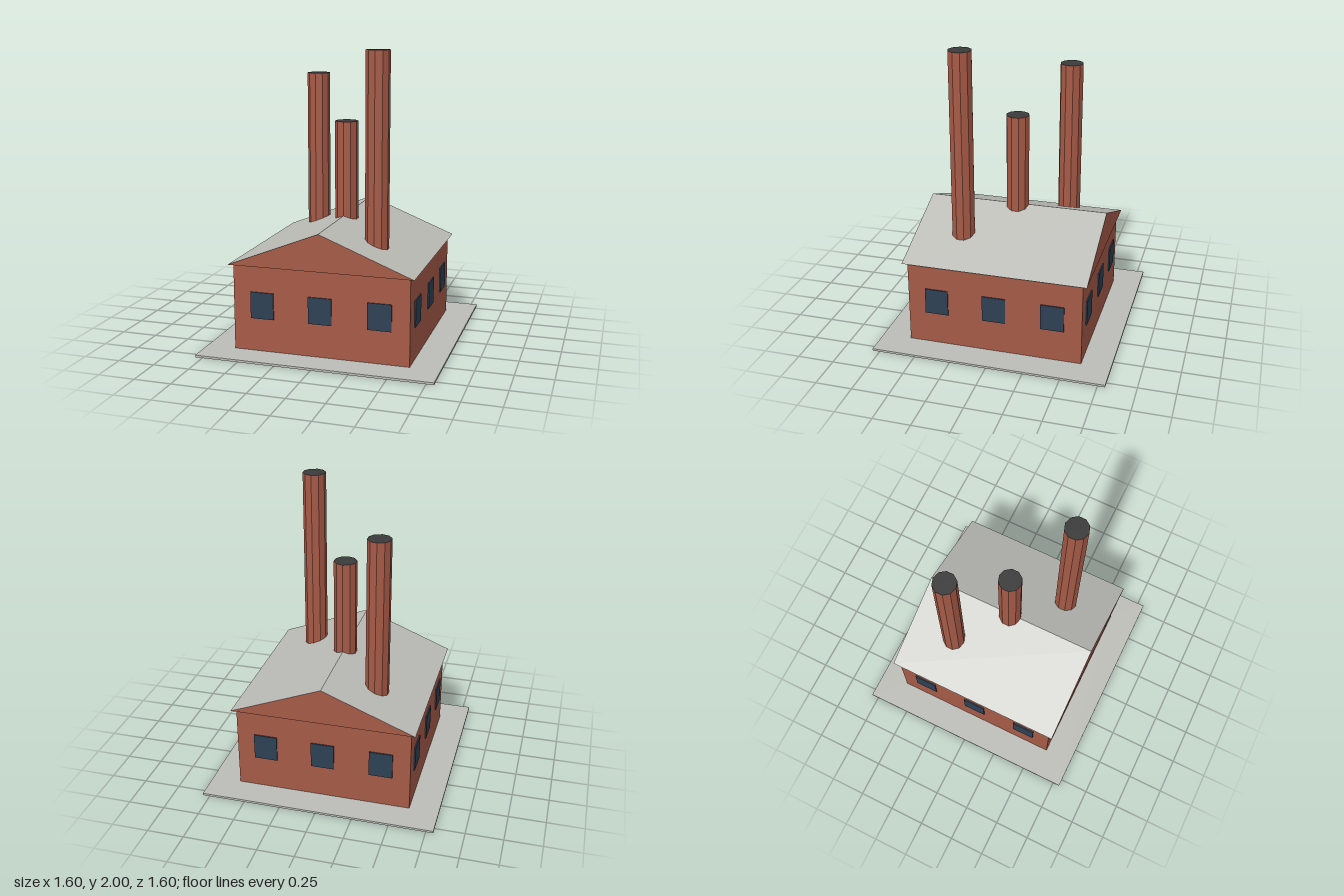
import * as THREE from 'three';

const paint = (name, color) => {
  const m = new THREE.MeshStandardMaterial({ color });
  m.name = name;
  return m;
};

export function createModel() {
  const brick = paint('brick red', 0xa65a47);
  const concrete = paint('concrete grey', 0xbcbdb7);
  const glass = paint('window blue', 0x2d4054);
  const soot = paint('soot black', 0x3a3a3a);

  const model = new THREE.Group();
  model.name = 'factory';
  const add = (name, geometry, material, parent = model) => {
    const mesh = new THREE.Mesh(geometry, material);
    mesh.name = name;
    parent.add(mesh);
    return mesh;
  };

  // Thin ground slab with an opening for the building
  const square = (Path, r) =>
    new Path([[-r, -r], [r, -r], [r, r], [-r, r]].map(([x, y]) => new THREE.Vector2(x, y)));
  const slabShape = square(THREE.Shape, 0.8);
  slabShape.holes.push(square(THREE.Path, 0.6));
  const slab = new THREE.ExtrudeGeometry(slabShape, { depth: 0.015, bevelEnabled: false });
  add('groundSlab', slab.rotateX(-Math.PI / 2), concrete);

  // Brick hall
  add('walls', new THREE.BoxGeometry(1.2, 0.6, 1.2).translate(0, 0.3, 0), brick);

  // Gabled roof: brick gable ends, concrete slopes and underside
  const gable = new THREE.Shape();
  gable.moveTo(-0.63, 0.6).lineTo(0.63, 0.6).lineTo(0, 0.85).closePath();
  const roof = new THREE.ExtrudeGeometry(gable, { depth: 1.26, bevelEnabled: false });
  add('roof', roof.translate(0, 0, -0.63), [brick, concrete]);

  // Three windows on each of the four walls
  const pane = new THREE.BoxGeometry(0.16, 0.18, 0.009);
  for (let side = 0; side < 4; side++) {
    const row = new THREE.Group();
    row.name = 'windowRow';
    row.rotation.y = (side * Math.PI) / 2;
    for (const x of [-0.4, 0, 0.4]) add('window', pane, glass, row).position.set(x, 0.33, 0.604);
    model.add(row);
  }

  // Ten-sided chimneys with dark tops, sunk into the roof: x, z, top height
  for (const [x, z, top] of [[0.3, 0.3, 2], [0, 0, 1.5], [-0.3, -0.3, 1.8]]) {
    const height = top - 0.61;
    const stack = new THREE.CylinderGeometry(0.08, 0.08, height, 10).toNonIndexed();
    stack.computeVertexNormals();
    add('chimney', stack, [brick, soot, brick]).position.set(x, top - height / 2, z);
  }

  return model;
}
